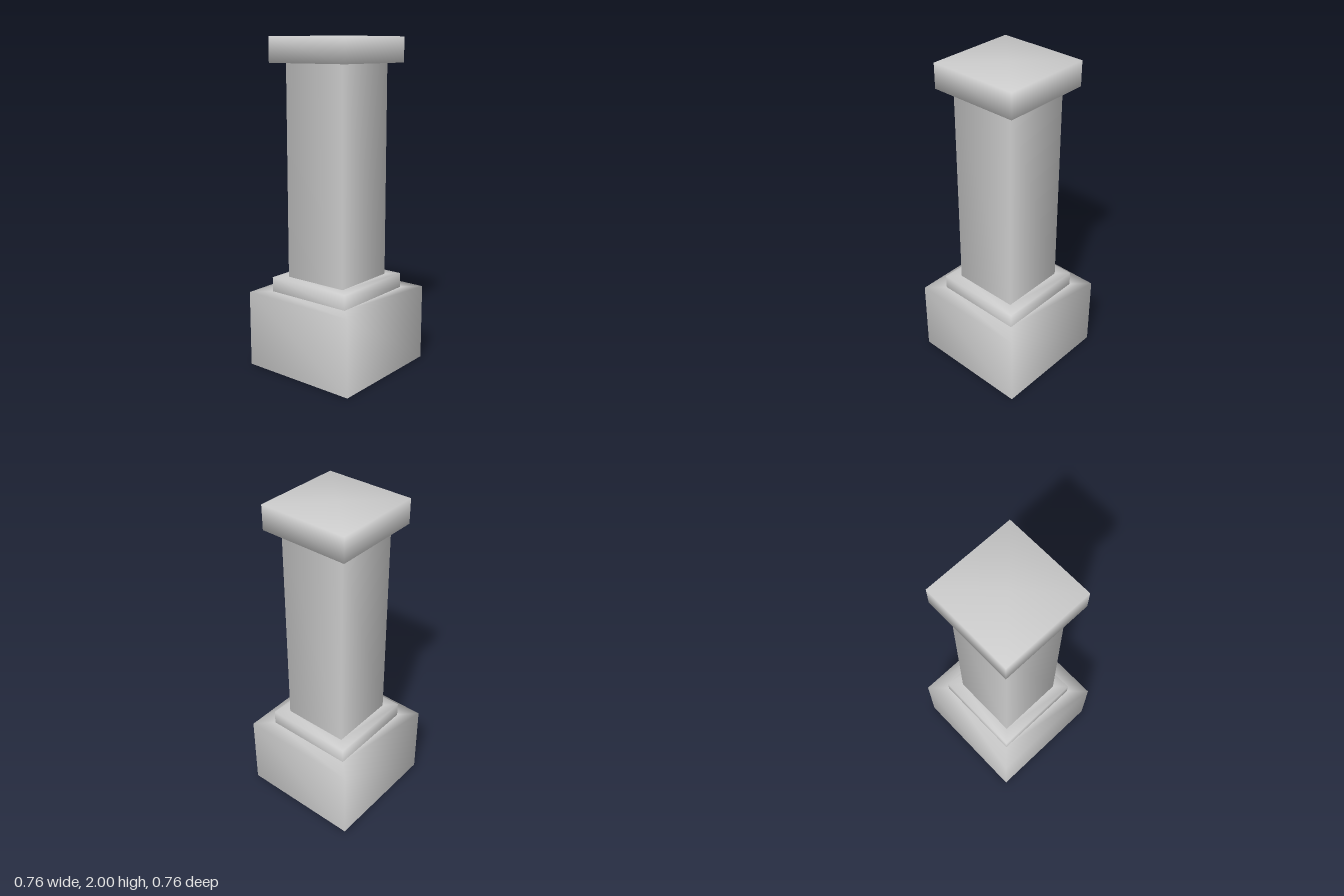
import * as THREE from 'three';

const stone = new THREE.MeshStandardMaterial({ color: 0xcccccc, side: THREE.DoubleSide });
stone.name = 'stone';

// Square, softly shaded shell from a profile of [half width, height] points
function squareShell(name, profile) {
  const points = profile.map(([half, y]) => new THREE.Vector2(half * Math.SQRT2, y));
  const geometry = new THREE.LatheGeometry(points, 4, Math.PI / 4);
  const mesh = new THREE.Mesh(geometry, stone);
  mesh.name = name;
  return mesh;
}

export function createModel() {
  const group = new THREE.Group();
  group.name = 'column';
  group.add(
    // Hollow block, open underneath, with a ledge around the plinth
    squareShell('base', [[0.38, 0], [0.38, 0.47], [0.28, 0.47]]),
    // Thin step below the shaft
    squareShell('plinth', [[0.28, 0.47], [0.28, 0.56], [0.21, 0.56]]),
    // Plain square shaft
    squareShell('shaft', [[0.21, 0.56], [0.21, 1.85]]),
    // Overhanging cap, closed on top
    squareShell('cap', [[0.21, 1.85], [0.28, 1.85], [0.28, 2], [0, 2]])
  );
  return group;
}
